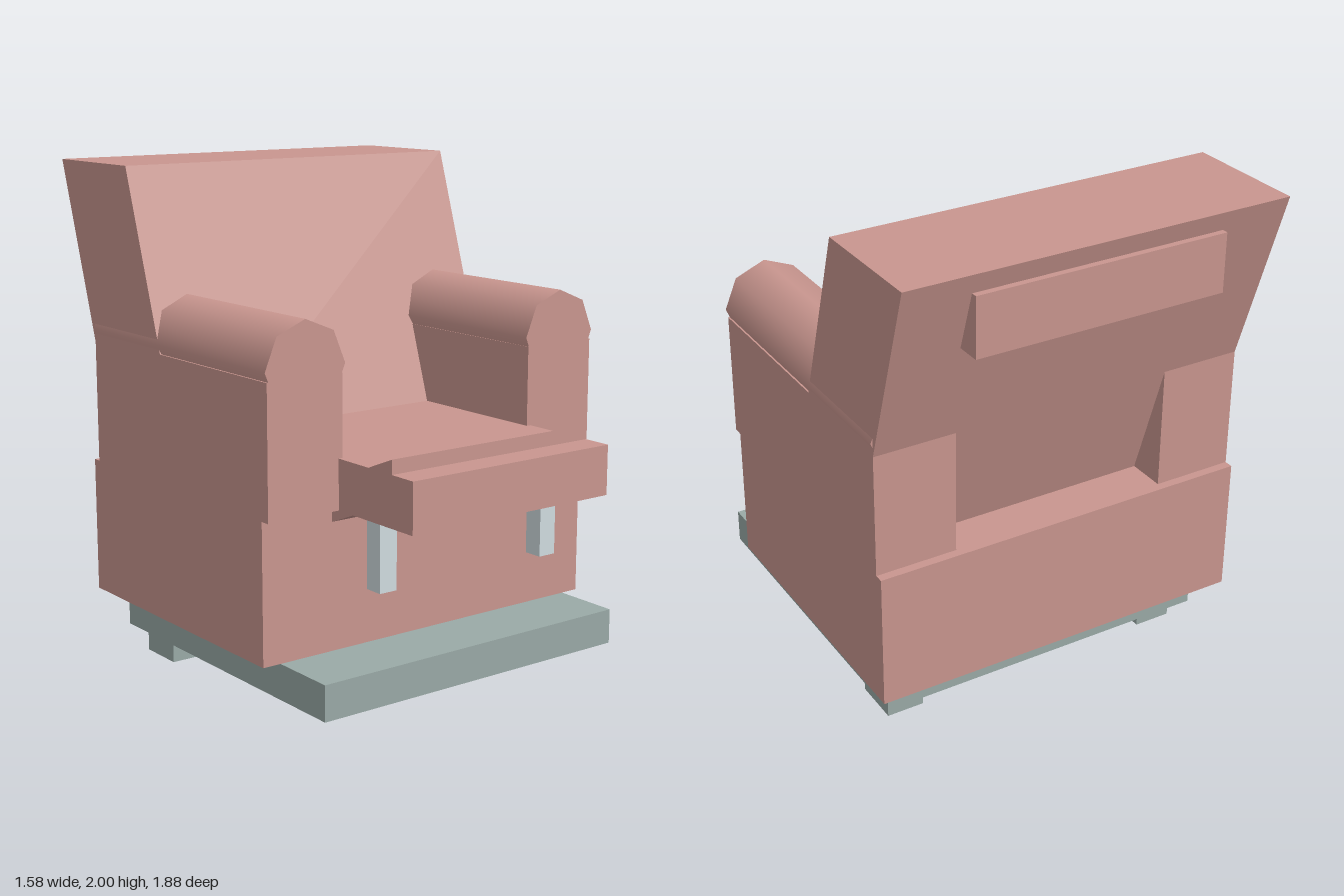
import * as THREE from 'three';

const material = (name, color) => {
  const m = new THREE.MeshStandardMaterial({ color });
  m.name = name;
  return m;
};

export function createModel() {
  const upholstery = material('dusty pink upholstery', 0xc9968f);
  const baseGrey = material('grey green base', 0x9aaaa7);
  const legGrey = material('pale grey legs', 0xd0dce0);
  const model = new THREE.Group();
  model.name = 'armchair';

  const add = (name, geometry, mat) => {
    const mesh = new THREE.Mesh(geometry, mat);
    mesh.name = name;
    model.add(mesh);
    return mesh;
  };

  // Box given by its extents on each axis
  const box = (name, mat, [x0, x1], [y0, y1], [z0, z1]) =>
    add(name, new THREE.BoxGeometry(x1 - x0, y1 - y0, z1 - z0), mat)
      .position.set((x0 + x1) / 2, (y0 + y1) / 2, (z0 + z1) / 2);

  // Side profile of [z, y] points, extruded across the full width
  const prism = (name, mat, profile, halfWidth) => {
    const shape = new THREE.Shape(profile.map(([z, y]) => new THREE.Vector2(z, y)));
    const geometry = new THREE.ExtrudeGeometry(shape, { depth: 2 * halfWidth, bevelEnabled: false });
    geometry.translate(0, 0, -halfWidth).rotateY(-Math.PI / 2);
    add(name, geometry, mat);
  };

  // Plinth and lower body
  box('basePlate', baseGrey, [-0.706, 0.706], [0.1, 0.24], [-0.625, 0.748]);
  box('body', upholstery, [-0.782, 0.782], [0.24, 0.79], [-0.742, 0.473]);

  // Reclined back with a flat block behind the head
  prism('backrest', upholstery, [[-0.041, 0.79], [-0.43, 2], [-0.937, 2], [-0.548, 0.79]], 0.782);
  box('headBlock', upholstery, [-0.51, 0.51], [1.69, 1.922], [-0.937, -0.78]);

  // Flat seat and the tilted cushion that pokes through it
  box('seat', upholstery, [-0.47, 0.47], [0.79, 0.985], [-0.3, 0.943]);
  prism('tiltedCushion', upholstery,
    [[0.825, 0.882], [0.825, 1.04], [0.2, 0.785], [0.2, 0.627]], 0.47);

  for (const side of [-1, 1]) {
    const prefix = side > 0 ? 'left' : 'right';
    const span = (a, b) => (side > 0 ? [a, b] : [-b, -a]);

    // Arm with an eight-sided rolled top
    box(prefix + 'Arm', upholstery, span(0.452, 0.782), [0.79, 1.3], [-0.706, 0.514]);
    const roll = new THREE.CylinderGeometry(0.175, 0.175, 1.22, 8).rotateX(Math.PI / 2);
    add(prefix + 'ArmRoll', roll, upholstery).position.set(side * 0.615, 1.336, -0.096);

    // Rear foot and front hanging leg
    box(prefix + 'RearFoot', baseGrey, span(0.51, 0.665), [0, 0.1], [-0.545, -0.35]);
    box(prefix + 'SeatLeg', legGrey, span(0.353, 0.43), [0.513, 0.8], [0.63, 0.708]);
  }
  return model;
}
